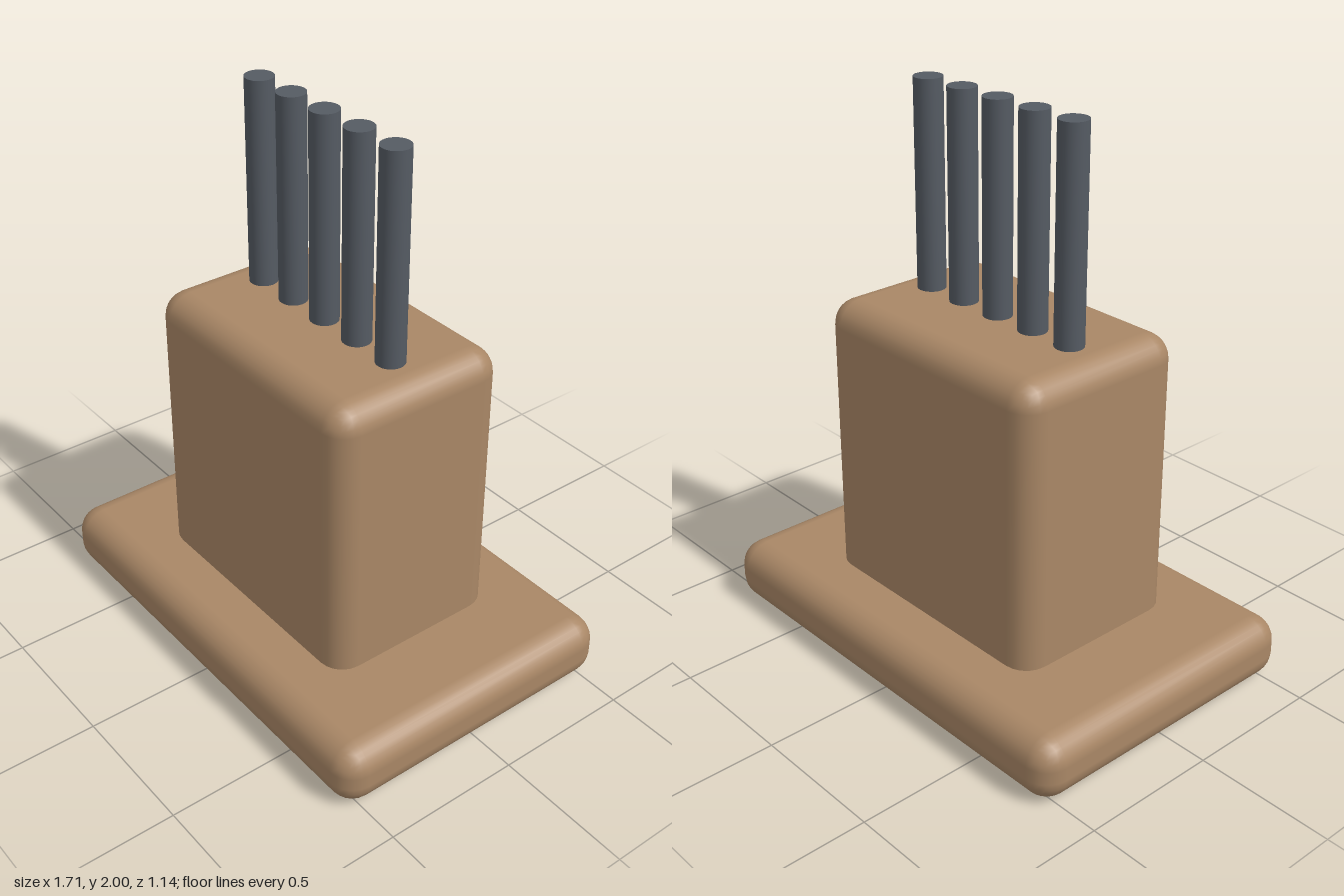
import * as THREE from 'three';
import { RoundedBoxGeometry } from 'three/addons/geometries/RoundedBoxGeometry.js';

export function createModel() {
  const model = new THREE.Group();
  const wood = new THREE.MeshStandardMaterial({ color: 0xa98766 });
  wood.name = 'brown wood';
  const steel = new THREE.MeshStandardMaterial({ color: 0x555b63 });
  steel.name = 'dark grey metal';

  const add = (name, geometry, material, x, y) => {
    const mesh = new THREE.Mesh(geometry, material);
    mesh.name = name;
    mesh.position.set(x, y, 0);
    model.add(mesh);
  };

  // Rounded base slab, with the upright block sunk into it
  add('base', new RoundedBoxGeometry(1.71, 0.228, 1.14, 3, 0.091), wood, 0, 0.114);
  add('block', new RoundedBoxGeometry(1.025, 1.142, 0.684, 3, 0.091), wood, 0, 0.685);

  // Row of five rods standing in the block
  const bottom = 1.14, top = 2;
  const rod = new THREE.CylinderGeometry(0.051, 0.051, top - bottom, 24);
  for (let i = -2; i <= 2; i++) {
    add(`rod${i + 3}`, rod, steel, i * 0.171, (top + bottom) / 2);
  }
  return model;
}
